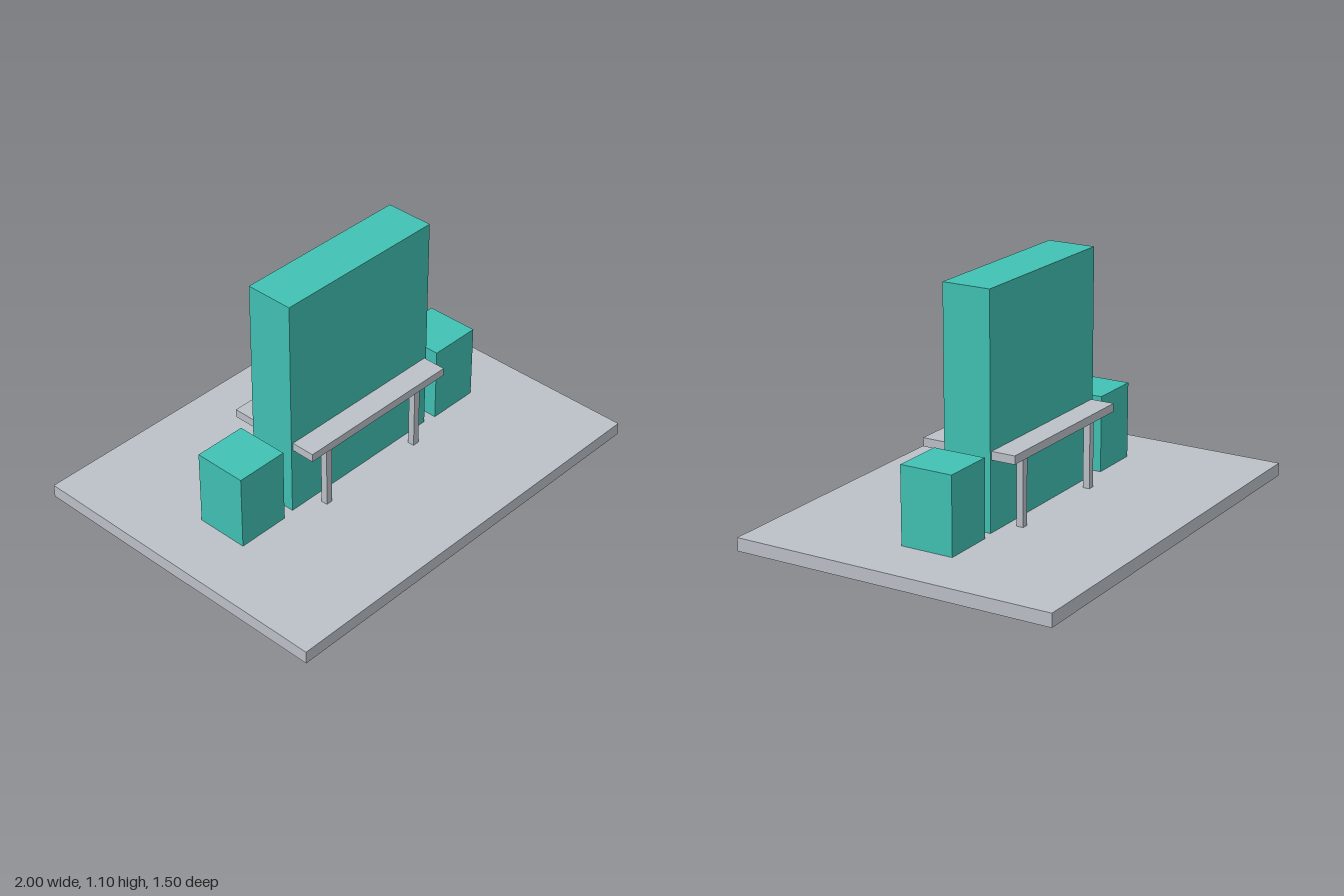
import * as THREE from 'three';

export function createModel() {
  const model = new THREE.Group();
  const grey = new THREE.MeshStandardMaterial({ color: 0xbcc1c8 });
  grey.name = 'pale grey';
  const teal = new THREE.MeshStandardMaterial({ color: 0x41c1b3 });
  teal.name = 'teal';

  // Box of given width and depth, spanning y0 to y1, centred on x and z
  function addBox(name, material, width, depth, y0, y1, x = 0, z = 0) {
    const mesh = new THREE.Mesh(new THREE.BoxGeometry(width, y1 - y0, depth), material);
    mesh.name = name;
    mesh.position.set(x, (y0 + y1) / 2, z);
    model.add(mesh);
  }

  const floorTop = 0.06;
  addBox('floorSlab', grey, 2, 1.5, 0, floorTop);

  // Tall panel standing through the middle of the table
  addBox('tallPanel', teal, 0.84, 0.224, 0.002, 1.1);

  // Table
  addBox('tableTop', grey, 0.82, 0.446, 0.377, 0.415);
  for (const sx of [-1, 1]) {
    for (const sz of [-1, 1]) {
      addBox('tableLeg', grey, 0.032, 0.032, floorTop, 0.377, sx * 0.276, sz * 0.175);
    }
    // Block seat at each end
    addBox('blockSeat', teal, 0.246, 0.246, floorTop, 0.41, sx * 0.602, 0);
  }

  return model;
}
